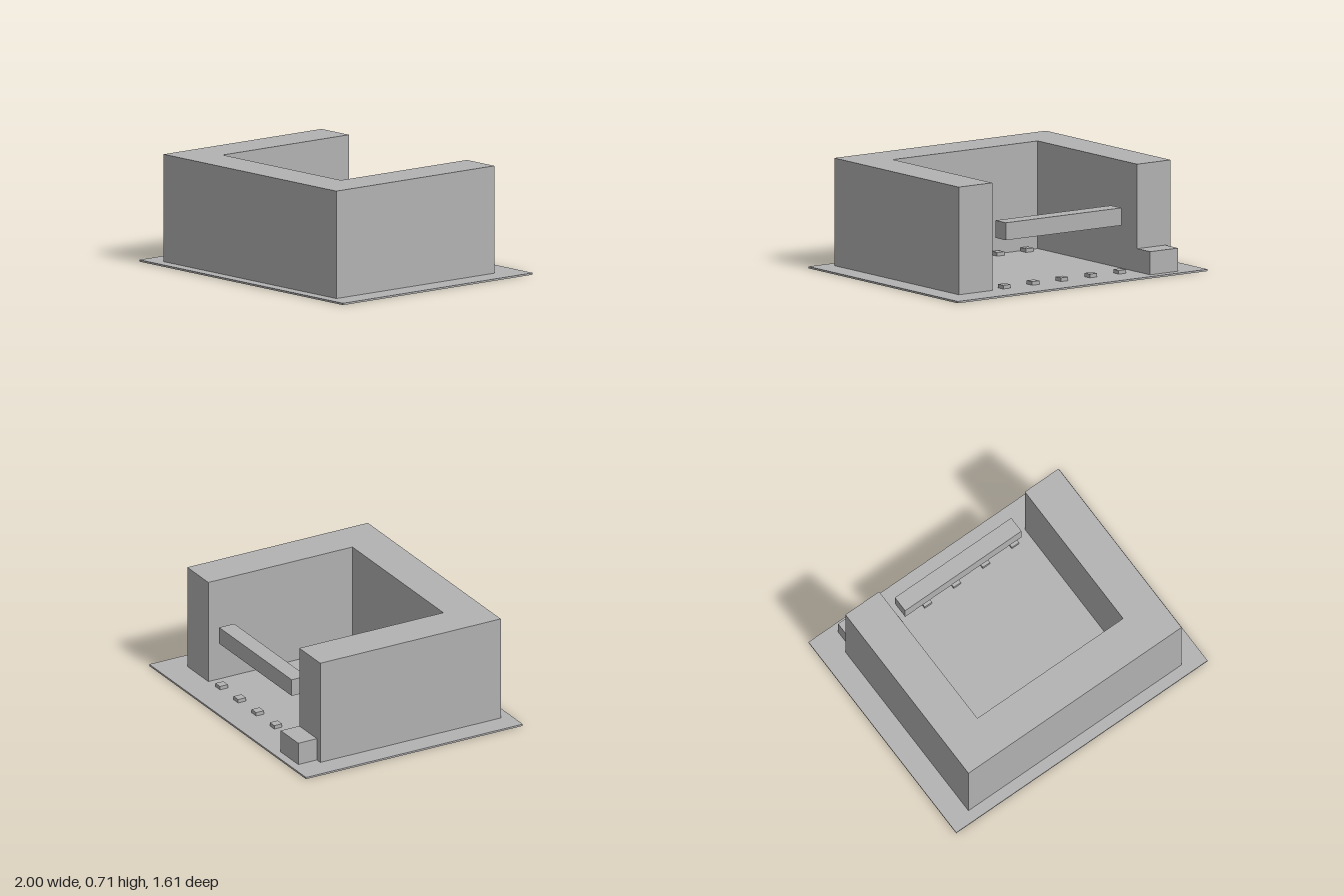
import * as THREE from 'three';

export function createModel() {
  const model = new THREE.Group();
  model.name = 'uShapedBuilding';
  const grey = new THREE.MeshStandardMaterial({ color: 0xb2b2b2 });
  grey.name = 'plain grey';

  const BASE = 0.012, ROOF = 0.715;

  // Box given by its extents along each axis
  function block(name, [x0, x1], [y0, y1], [z0, z1], parent = model) {
    const mesh = new THREE.Mesh(new THREE.BoxGeometry(x1 - x0, y1 - y0, z1 - z0), grey);
    mesh.position.set((x0 + x1) / 2, (y0 + y1) / 2, (z0 + z1) / 2);
    mesh.name = name;
    parent.add(mesh);
  }

  // Thin ground plate
  block('groundPlate', [-1, 1], [0, BASE], [-0.807, 0.807]);

  // U-shaped building, open at the back; plan drawn as (x, z)
  const plan = new THREE.Shape([
    [-0.848, -0.612], [-0.58, -0.612], [-0.58, 0.461], [0.58, 0.461],
    [0.58, -0.612], [0.848, -0.612], [0.848, 0.732], [-0.848, 0.732],
  ].map(([x, z]) => new THREE.Vector2(x, z)));
  const walls = new THREE.Mesh(
    new THREE.ExtrudeGeometry(plan, { depth: ROOF - BASE, bevelEnabled: false }), grey);
  walls.rotation.x = Math.PI / 2;
  walls.position.y = ROOF;
  walls.name = 'building';
  model.add(walls);

  // Small annex behind the right wing
  block('annex', [-0.805, -0.581], [BASE, 0.163], [-0.751, -0.612]);

  // Raised beam across the open side
  block('beam', [-0.463, 0.463], [0.326, 0.44], [-0.6, -0.488]);

  // Two rows of low square pads in the courtyard
  const pads = new THREE.Group();
  pads.name = 'pads';
  model.add(pads);
  const half = 0.029;
  for (const z of [-0.582, 0.418]) {
    for (let i = -2; i <= 2; i++) {
      const x = i * 0.231;
      block('pad', [x - half, x + half], [BASE, 0.036], [z - half, z + half], pads);
    }
  }
  return model;
}
